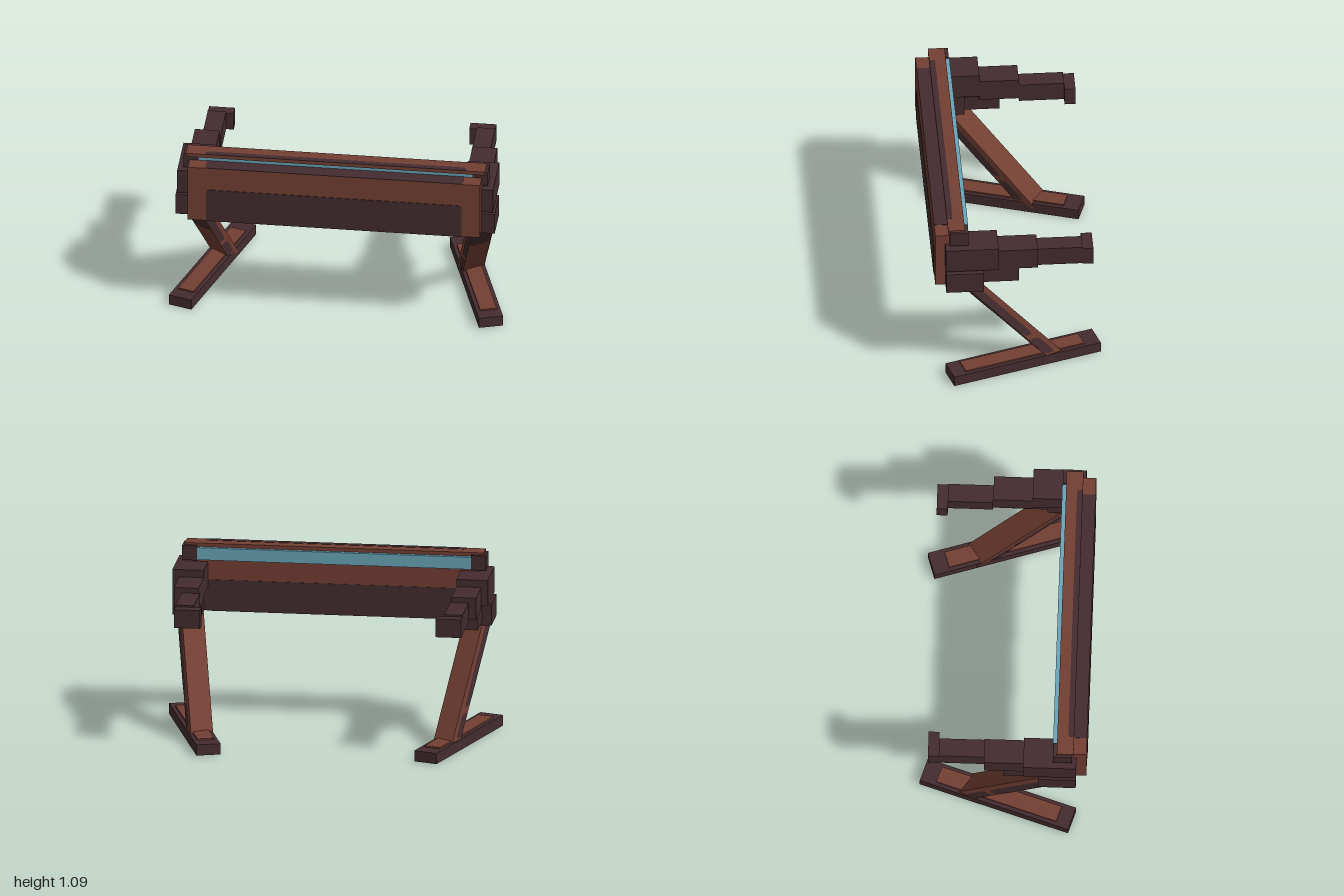
import * as THREE from 'three';
import { ConvexGeometry } from 'three/addons/geometries/ConvexGeometry.js';

const mat = (name, color, side = THREE.FrontSide) => {
  const m = new THREE.MeshStandardMaterial({ color, side });
  m.name = name;
  return m;
};

export function createModel() {
  const rust = mat('rust red', 0x733f33);
  const dark = mat('dark brown', 0x442c2f);
  const darkSheet = mat('dark brown', 0x442c2f, THREE.DoubleSide);
  darkSheet.name = 'dark brown sheet';
  const blue = mat('glass blue', 0x69a5b9);
  const model = new THREE.Group();
  model.name = 'gantry';

  const add = (parent, name, geo, material) => {
    const mesh = new THREE.Mesh(geo, material);
    mesh.name = name;
    parent.add(mesh);
    return mesh;
  };
  // Box given by its limits on each axis; s mirrors it in x
  const box = (parent, name, material, [x0, x1], [y0, y1], [z0, z1], s = 1) => {
    const mesh = add(parent, name, new THREE.BoxGeometry(x1 - x0, y1 - y0, z1 - z0), material);
    mesh.position.set(s * (x0 + x1) / 2, (y0 + y1) / 2, (z0 + z1) / 2);
    return mesh;
  };
  // Thin plate with its two upper corners rounded, base on y = 0
  const plateGeo = (w, h, r) => {
    const sh = new THREE.Shape();
    sh.moveTo(-w / 2, 0);
    sh.lineTo(w / 2, 0);
    sh.lineTo(w / 2, h - r);
    sh.quadraticCurveTo(w / 2, h, w / 2 - r, h);
    sh.lineTo(-w / 2 + r, h);
    sh.quadraticCurveTo(-w / 2, h, -w / 2, h - r);
    return new THREE.ExtrudeGeometry(sh, { depth: 0.004, bevelEnabled: false, curveSegments: 5 });
  };

  // Main crossbar with dark inlays on front, top, back and underside
  box(model, 'crossbar', rust, [-0.875, 0.875], [0.67, 1.034], [0.32, 0.496]);
  add(model, 'frontInlay', plateGeo(1.53, 0.215, 0.03), dark).position.set(0, 0.67, 0.495);
  const topInlay = add(model, 'topInlay', plateGeo(1.54, 0.1, 0.02), dark);
  topInlay.rotation.x = -Math.PI / 2;
  topInlay.position.set(0, 1.032, 0.496);
  box(model, 'backInlay', dark, [-0.874, 0.874], [0.67, 0.86], [0.317, 0.321]);
  box(model, 'undersideInlay', dark, [-0.765, 0.765], [0.667, 0.671], [0.32, 0.496]);

  // Glass strip under a flat cap
  box(model, 'glassStrip', blue, [-0.82, 0.82], [0.985, 1.06], [0.296, 0.41]);
  box(model, 'topCap', rust, [-0.895, 0.895], [1.06, 1.083], [0.32, 0.42]);
  const capInlay = add(model, 'capInlay', plateGeo(1.56, 0.035, 0.02), dark);
  capInlay.rotation.x = -Math.PI / 2;
  capInlay.position.set(0, 1.081, 0.42);

  for (const s of [1, -1]) {
    const side = new THREE.Group();
    side.name = s > 0 ? 'leftSide' : 'rightSide';
    model.add(side);

    // Strip holder, stepped upper arm and short lower arm
    box(side, 'stripHolder', dark, [0.82, 0.91], [0.98, 1.07], [0.3, 0.41], s);
    box(side, 'armBase', dark, [0.757, 0.945], [0.815, 0.97], [0.122, 0.437], s);
    box(side, 'armMiddle', dark, [0.757, 0.905], [0.79, 0.925], [-0.113, 0.122], s);
    box(side, 'armEnd', dark, [0.75, 0.86], [0.775, 0.893], [-0.382, -0.113], s);
    box(side, 'armTip', dark, [0.705, 0.86], [0.77, 0.882], [-0.447, -0.382], s);
    box(side, 'lowerArmBase', dark, [0.78, 0.955], [0.667, 0.8], [0.21, 0.435], s);
    box(side, 'lowerArmEnd', dark, [0.79, 0.9], [0.695, 0.787], [0, 0.21], s);

    // Splayed foot with inlays above and below
    const foot = new THREE.Group();
    foot.name = 'foot';
    foot.position.set(s * 0.79, 0, -0.033);
    foot.rotation.y = s * 0.305;
    side.add(foot);
    box(foot, 'footBeam', dark, [-0.073, 0.073], [0.002, 0.068], [-0.467, 0.467]);
    box(foot, 'footTopInlay', rust, [-0.05, 0.05], [0.068, 0.077], [-0.37, 0.385]);
    box(foot, 'footUnderInlay', rust, [-0.05, 0.05], [0, 0.004], [-0.37, 0.2]);

    // Slanted leg: a turned parallelogram section swept from foot to crossbar
    const section = [[0.82, 0.385], [0.94, 0.3], [0.9, 0.205], [0.78, 0.29]];
    const at = (i, t) => {
      const [x, z] = section[i % 4];
      const k = 1 - t;
      return new THREE.Vector3(s * (x - 0.125 * k), 0.03 + 0.64 * t, z - 0.5 * k);
    };
    const corners = [];
    for (let i = 0; i < 4; i++) corners.push(at(i, 0), at(i, 1.1));
    add(side, 'leg', new ConvexGeometry(corners), rust);

    // Rounded dark patch on leg face i, over u across and t along
    const centre = [0, 1, 2, 3].reduce((c, i) => c.add(at(i, 0.5)), new THREE.Vector3()).multiplyScalar(0.25);
    const patch = (name, i, u0, u1, t0, t1) => {
      const across = at(i + 1, 0.5).sub(at(i, 0.5));
      const n = across.clone().cross(at(i, 1).sub(at(i, 0))).normalize();
      if (n.dot(at(i, 0.5).addScaledVector(across, 0.5).sub(centre)) < 0) n.negate();
      const pts = [];
      const steps = 24;
      const point = (a, r) => {
        const e = (v) => Math.sign(v) * Math.abs(v) ** 0.35 * r;
        const u = (u0 + u1) / 2 + e(Math.cos(a)) * (u1 - u0) / 2;
        const t = (t0 + t1) / 2 + e(Math.sin(a)) * (t1 - t0) / 2;
        return at(i, t).lerp(at(i + 1, t), u).addScaledVector(n, 0.002);
      };
      for (let k = 0; k < steps; k++) {
        const a = (k / steps) * Math.PI * 2, b = ((k + 1) / steps) * Math.PI * 2;
        const tri = [point(0, 0), point(a, 1), point(b, 1)];
        const facing = tri[1].clone().sub(tri[0]).cross(tri[2].clone().sub(tri[0])).dot(n);
        pts.push(...(facing < 0 ? [tri[0], tri[2], tri[1]] : tri));
      }
      const geo = new THREE.BufferGeometry().setFromPoints(pts);
      geo.computeVertexNormals();
      add(side, name, geo, darkSheet);
    };
    patch('legFrontPatch', 0, 0, 1, 0.58, 1.08);
    patch('legOuterPatch', 1, 0, 0.6, 0.33, 1.05);
    patch('legOuterLowPatch', 1, 0.05, 0.65, 0.08, 0.28);
    patch('legInnerPatch', 3, 0.4, 1, 0.33, 1.05);
    patch('legInnerLowPatch', 3, 0.35, 0.95, 0.08, 0.28);
  }
  return model;
}
